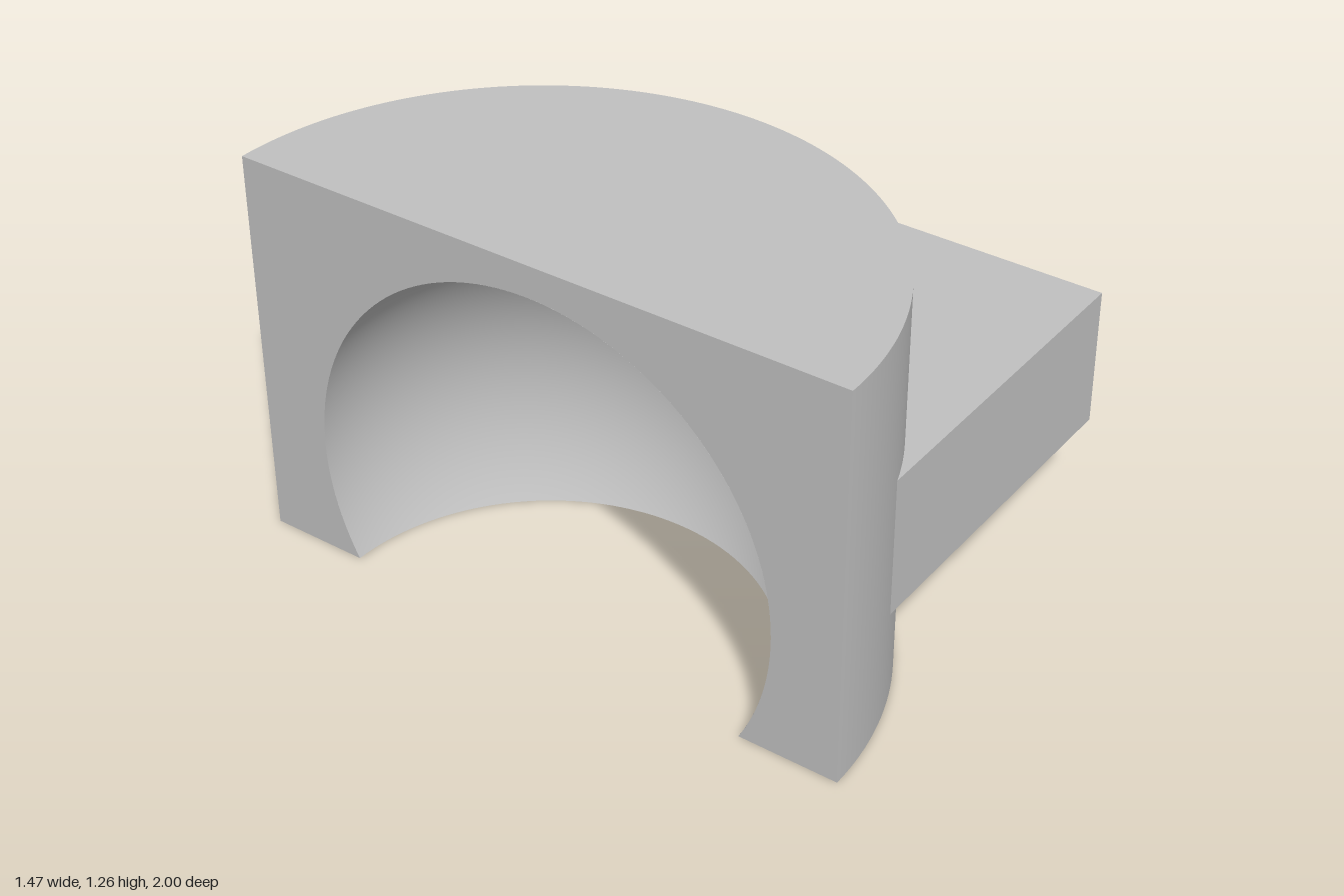
import * as THREE from 'three';
import { toCreasedNormals } from 'three/addons/utils/BufferGeometryUtils.js';

export function createModel() {
  const model = new THREE.Group();
  model.name = 'socketBracket';
  // everything is built around the axis of the half cylinder
  model.position.x = -0.735;

  const grey = new THREE.MeshStandardMaterial({ color: 0xc0c0c0, side: THREE.DoubleSide });
  grey.name = 'grey';

  const R = 1, H = 1.26;             // half cylinder
  const r = 0.78, cy = 0.38;         // spherical socket
  const c = Math.sqrt(r * r - cy * cy); // socket radius at the base
  const a = Math.asin(cy / r);

  const add = (name, geometry, parent) => {
    const mesh = new THREE.Mesh(geometry, grey);
    mesh.name = name;
    parent.add(mesh);
    return mesh;
  };

  // half cylinder with a socket open at the back and below
  const body = new THREE.Group();
  body.name = 'halfCylinder';
  model.add(body);

  add('curvedWall', new THREE.CylinderGeometry(R, R, H, 96, 1, true, 0, Math.PI), body)
    .position.y = H / 2;
  add('topFace', new THREE.CircleGeometry(R, 96, -Math.PI / 2, Math.PI).rotateX(-Math.PI / 2), body)
    .position.y = H;
  add('bottomRim', new THREE.RingGeometry(c, R, 96, 1, -Math.PI / 2, Math.PI).rotateX(Math.PI / 2), body);

  const flat = new THREE.Shape();
  flat.moveTo(-R, 0);
  flat.lineTo(-c, 0);
  flat.absarc(0, cy, r, Math.PI + a, -a, true);
  flat.lineTo(R, 0);
  flat.lineTo(R, H);
  flat.lineTo(-R, H);
  flat.closePath();
  add('flatFace', new THREE.ShapeGeometry(flat, 96).rotateY(-Math.PI / 2), body);

  add('socket', new THREE.SphereGeometry(r, 64, 48, Math.PI / 2, Math.PI, 0, Math.PI / 2 + a), body)
    .position.y = cy;

  // mounting plate, its inner edge buried inside the cylinder wall
  const w = 0.94, inner = 0.95, y0 = 0.32, y1 = 0.765;
  const t = Math.asin(w / inner);
  const outline = new THREE.Shape();
  outline.moveTo(1.47, -w);
  outline.lineTo(1.47, w);
  outline.lineTo(inner * Math.cos(t), w);
  outline.absarc(0, 0, inner, t, -t, true);
  outline.closePath();
  const hole = new THREE.Path();
  hole.absarc(1.23, 0, 0.13, 0, Math.PI * 2, true);
  outline.holes.push(hole);
  const plate = new THREE.ExtrudeGeometry(outline, {
    depth: y1 - y0, bevelEnabled: false, curveSegments: 48,
  }).rotateX(-Math.PI / 2);
  add('mountingPlate', toCreasedNormals(plate, 0.5), model).position.y = y0;

  return model;
}
